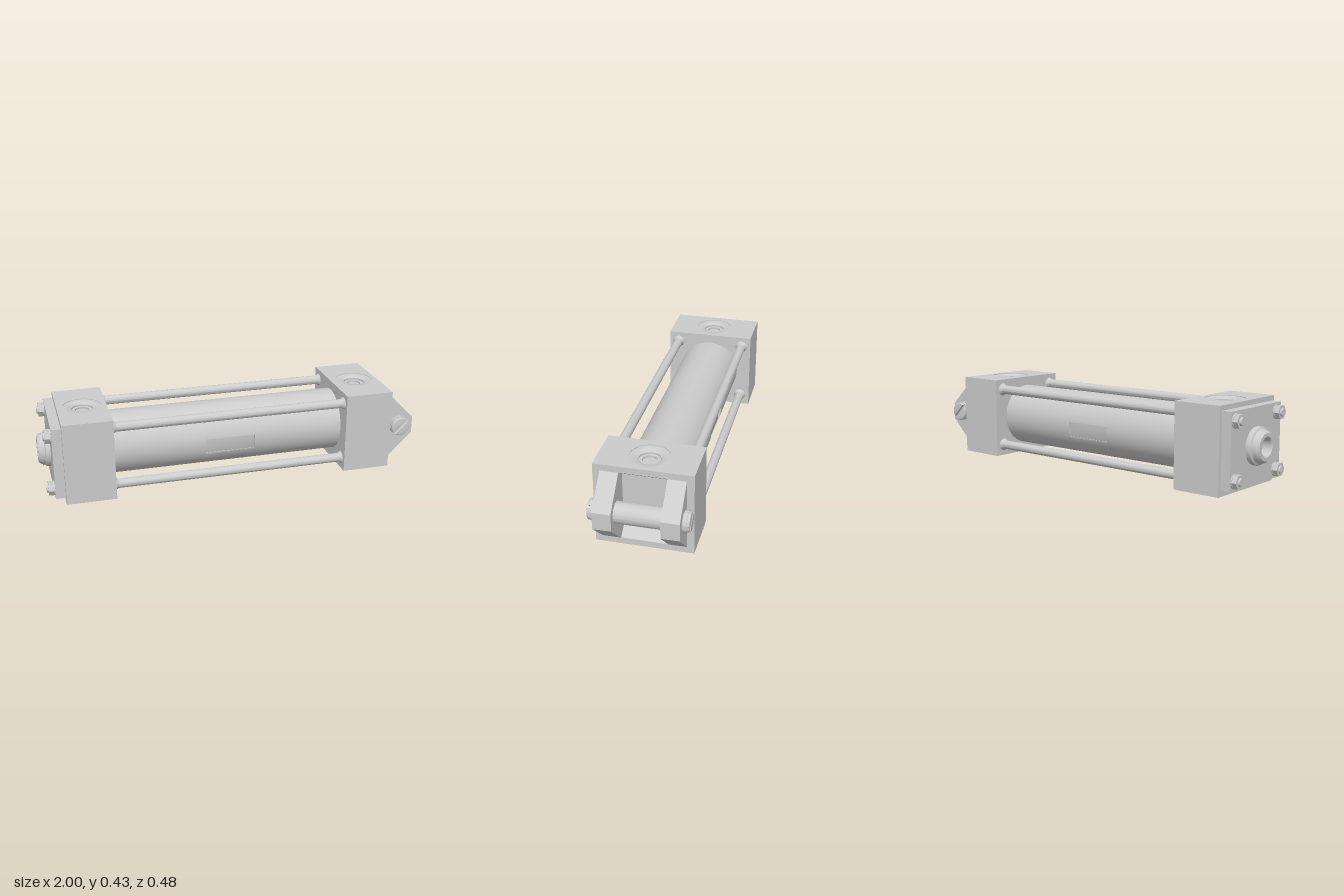
import * as THREE from 'three';
import { toCreasedNormals } from 'three/addons/utils/BufferGeometryUtils.js';

const MID = 0.217, HALF_Z = 0.24, TOP = 0.43, PORT_DEPTH = 0.032;

export function createModel() {
  const model = new THREE.Group();
  model.name = 'hydraulicCylinder';
  const material = new THREE.MeshStandardMaterial({ color: 0xcccccc });

  function add(name, geometry, parent = model) {
    const mesh = new THREE.Mesh(toCreasedNormals(geometry, 0.6), material);
    mesh.name = name;
    parent.add(mesh);
    return mesh;
  }
  // Box given by its limits on each axis
  const box = (x0, x1, y0, y1, z0, z1) =>
    new THREE.BoxGeometry(x1 - x0, y1 - y0, z1 - z0)
      .translate((x0 + x1) / 2, (y0 + y1) / 2, (z0 + z1) / 2);
  // Cylinder along x
  const rodX = (r0, r1, x0, x1, y, z, sides = 32) =>
    new THREE.CylinderGeometry(r1, r0, x1 - x0, sides)
      .rotateZ(-Math.PI / 2).translate((x0 + x1) / 2, y, z);
  const lathe = (points, segments = 48) =>
    new THREE.LatheGeometry(points.map(([r, h]) => new THREE.Vector2(r, h)), segments);
  const polygon = (points) => new THREE.Shape(points.map(([x, y]) => new THREE.Vector2(x, y)));
  const extrude = (shape, depth, options = {}) =>
    new THREE.ExtrudeGeometry(shape, { depth, bevelEnabled: false, curveSegments: 32, ...options });

  // Slab with a round opening, and the stepped port that lines it
  function portFace(name, x0, x1, px, bottom = false) {
    const shape = polygon([[x0, -HALF_Z], [x1, -HALF_Z], [x1, HALF_Z], [x0, HALF_Z]]);
    shape.holes.push(new THREE.Path().absarc(px, 0, 0.098, 0, Math.PI * 2, true));
    const group = new THREE.Group();
    group.name = name;
    add(name + 'Slab', extrude(shape, PORT_DEPTH).rotateX(-Math.PI / 2).translate(0, -PORT_DEPTH, 0), group);
    add(name + 'Socket', lathe([
      [0.098, 0], [0.098, -0.003], [0.07, -0.003], [0.053, -0.014], [0.053, -0.022],
      [0.036, -0.022], [0.036, -0.031], [0, -0.031],
    ]).translate(px, 0, 0), group);
    if (bottom) group.rotation.x = Math.PI;
    else group.position.y = TOP;
    model.add(group);
  }

  // Rod-end head with a port above and below
  add('rodHead', box(-0.89, -0.635, PORT_DEPTH, TOP - PORT_DEPTH, -HALF_Z, HALF_Z));
  portFace('rodHeadTopPort', -0.89, -0.635, -0.76);
  portFace('rodHeadBottomPort', -0.89, -0.635, -0.76, true);
  add('retainerPlate', box(-0.94, -0.89, 0.03, 0.405, -0.22, 0.22));

  // Hollow gland and rod end
  add('rodGland', lathe([
    [0, -0.95], [0.045, -0.95], [0.045, -0.995], [0.05, -1], [0.068, -1], [0.079, -0.988],
    [0.082, -0.968], [0.092, -0.963], [0.094, -0.958], [0.094, -0.938],
  ]).rotateZ(-Math.PI / 2).translate(0, MID, 0));

  // Clevis-end head: a tapered pocket between solid sides
  const headTop = TOP - PORT_DEPTH;
  add('clevisHeadCore', extrude(polygon([
    [0.597, 0], [0.853, 0], [0.853, 0.033], [0.803, 0.07], [0.803, 0.362], [0.853, headTop], [0.597, headTop],
  ]), 0.23).translate(0, 0, -0.115));
  for (const s of [-1, 1]) {
    add('clevisHeadSide', box(0.597, 0.853, 0, headTop, 0.115, HALF_Z).translate(0, 0, s < 0 ? -0.115 - HALF_Z : 0));
  }
  portFace('clevisHeadTopPort', 0.597, 0.853, 0.73);

  // Barrel, with flat recesses on front and back of its middle section
  const R = 0.165, FLAT = 0.15, hi = 0.022, lo = -0.058;
  const a = Math.asin(hi / R), b = Math.asin(-lo / R);
  const section = new THREE.Shape();
  section.absarc(0, 0, R, a, Math.PI - a);
  section.lineTo(-FLAT, hi);
  section.lineTo(-FLAT, lo);
  section.absarc(0, 0, R, Math.PI + b, 2 * Math.PI - b);
  section.lineTo(FLAT, lo);
  section.lineTo(FLAT, hi);
  add('barrelMiddle', extrude(section, 0.262).rotateY(Math.PI / 2).translate(-0.147, MID, 0));
  add('barrelLeft', rodX(R, R, 0.115, 0.6, MID, 0, 64));
  add('barrelRight', rodX(R, R, -0.64, -0.147, MID, 0, 64));

  // Tie rods with collars, nuts and stud ends at the four corners
  for (const sy of [-1, 1]) {
    for (const sz of [-1, 1]) {
      const y = MID + sy * 0.157, z = sz * 0.187;
      const ny = MID + sy * 0.142, nz = sz * 0.182;
      add('tieRod', rodX(0.024, 0.024, -0.64, 0.6, y, z));
      add('rodCollar', rodX(0.034, 0.024, -0.636, -0.618, y, z));
      add('rodCollar', rodX(0.024, 0.034, 0.58, 0.598, y, z));
      add('nutWasher', rodX(0.036, 0.036, -0.947, -0.938, ny, nz));
      add('nut', rodX(0.037, 0.037, -0.971, -0.945, ny, nz, 6));
      add('studEnd', rodX(0.018, 0.021, -0.98, -0.97, ny, nz, 24));
    }
  }

  // Clevis lugs
  const lug = polygon([[0.85, 0.035], [0.857, 0.035], [0.996, 0.17], [0.996, 0.26], [0.857, headTop], [0.85, headTop]]);
  for (const z of [-0.205, 0.115]) add('clevisLug', extrude(lug, 0.09).translate(0, 0, z));

  // Pin with a slotted, rounded head on each end
  const pinX = 0.915, pinY = 0.224;
  add('clevisPin', new THREE.CylinderGeometry(0.052, 0.052, 0.41, 48).rotateX(Math.PI / 2).translate(pinX, pinY, 0));
  const gap = Math.asin(0.011 / 0.046);
  const segment = new THREE.Shape();
  segment.absarc(0, 0, 0.046, gap, Math.PI - gap);
  segment.closePath();
  for (const s of [-1, 1]) {
    const head = new THREE.Group();
    head.name = 'pinHead';
    add('headDisc', lathe([[0.047, 0.203], [0.053, 0.209], [0.053, 0.226], [0, 0.226]]).rotateX(Math.PI / 2), head);
    for (const turn of [0, Math.PI]) {
      add('headHalf', extrude(segment, 0.006, {
        bevelEnabled: true, bevelSize: 0.005, bevelThickness: 0.006, bevelSegments: 3,
      }).translate(0, 0, 0.2285).rotateZ(Math.PI / 4 + turn), head);
    }
    head.position.set(pinX, pinY, 0);
    if (s < 0) head.rotation.y = Math.PI;
    model.add(head);
  }

  return model;
}
